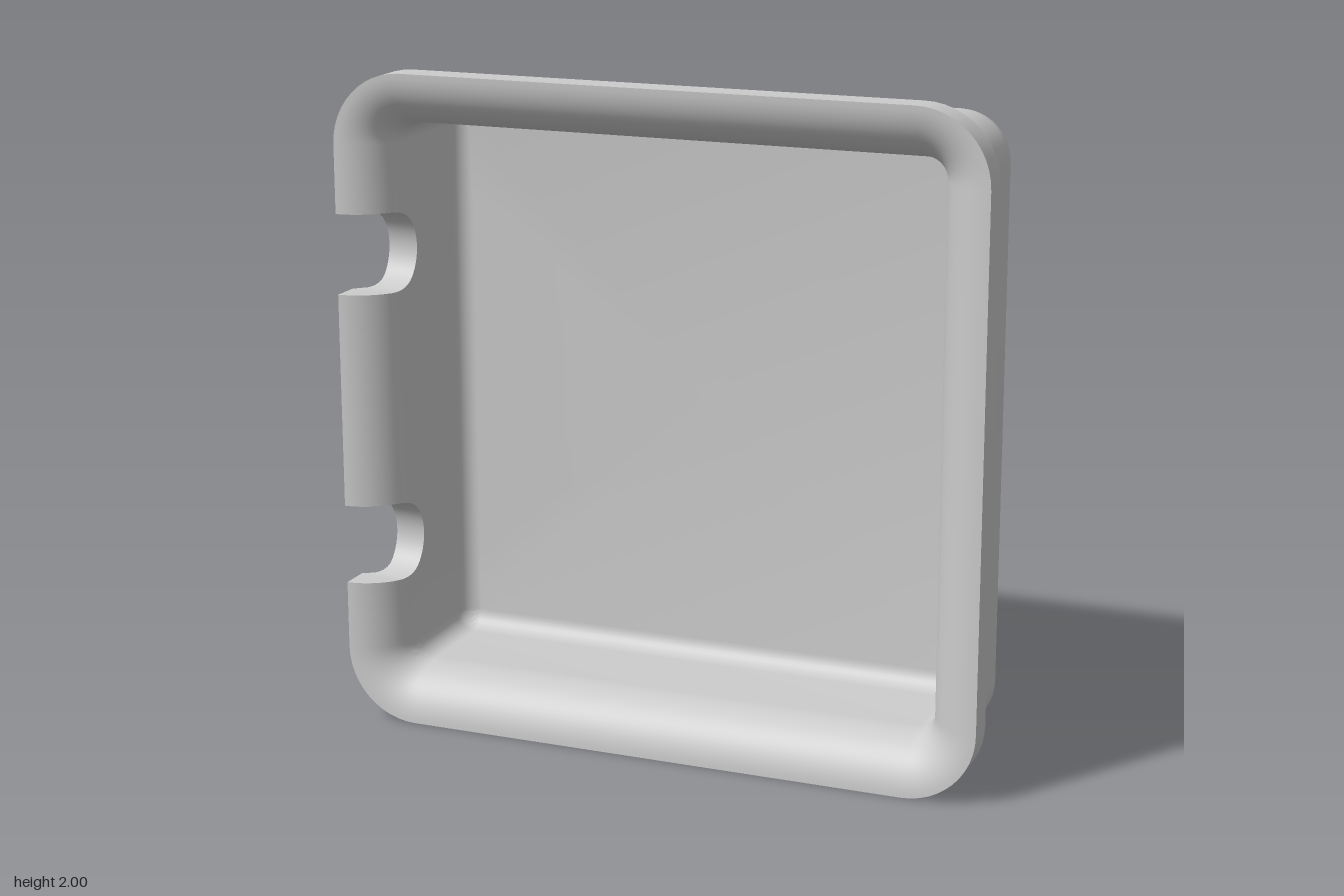
import * as THREE from 'three';
import { toCreasedNormals } from 'three/addons/utils/BufferGeometryUtils.js';

const CORE = 0.78;                      // all corner arcs share these centres
const OUT = 0.93, INN = 0.837;          // half widths of the wall, outside and inside
const BACK = -0.283, RIM = 0.283, FLOOR = -0.19;
const LIP_Z = 0.12;                     // the flared lip starts here
const NOTCH = { r: 0.122, z: 0.205, ys: [0.45, -0.45] };

// half width of the flared lip at depth z, outside and inside
const flare = (z, r) => (z <= LIP_Z ? 1 - r : z >= LIP_Z + r ? 1 : 1 - Math.sqrt(r * r - (z - LIP_Z) ** 2));
const outerH = (z) => flare(z, 1 - OUT);
const innerH = (z) => flare(z, 1 - INN);

// wall cross-section [half width, z, halfWidthAtDepth]: back, outside, rim, inside, floor
function crossSection() {
  const pts = [];
  const arc = (cx, cz, r, a0, a1, n, fn) => {
    for (let i = 0; i <= n; i++) {
      const a = ((a0 + ((a1 - a0) * i) / n) * Math.PI) / 180;
      pts.push([cx + r * Math.cos(a), cz + r * Math.sin(a), fn]);
    }
  };
  const rOut = OUT - CORE, rIn = INN - CORE;
  pts.push([0, BACK, outerH]);
  arc(CORE, BACK + rOut, rOut, -90, 0, 12, outerH);
  arc(1, LIP_Z, 1 - OUT, 180, 90, 10, outerH);
  pts.push([1, RIM, outerH]);
  arc(1, LIP_Z, 1 - INN, 90, 180, 16, innerH);
  arc(CORE, FLOOR + rIn, rIn, 0, -90, 8, innerH);
  pts.push([0, FLOOR, innerH]);
  return pts;
}

// stations around the rounded square; cut is the depth the wall is trimmed to
function perimeter() {
  const list = [];
  const corners = [[1, 1], [-1, 1], [-1, -1], [1, -1]];
  corners.forEach(([sx, sy], k) => {
    for (let i = 0; i <= 12; i++) {
      const a = ((k + i / 12) * Math.PI) / 2;
      list.push({ cx: sx * CORE, cy: sy * CORE, dx: Math.cos(a), dy: Math.sin(a), cut: Infinity });
    }
    if (k !== 1) return;
    // two round-bottomed notches in the right wall
    for (const y of NOTCH.ys) {
      const add = (cy, cut) => list.push({ cx: -CORE, cy, dx: -1, dy: 0, cut });
      add(y + NOTCH.r, Infinity);
      for (let i = 0; i <= 24; i++) {
        const a = (i / 24) * Math.PI;
        add(y + NOTCH.r * Math.cos(a), NOTCH.z - NOTCH.r * Math.sin(a));
      }
      add(y - NOTCH.r, Infinity);
    }
  });
  return list;
}

function trayGeometry() {
  const section = crossSection();
  const around = perimeter();
  const grid = around.map((s) => section.map(([h0, z0, widthAt]) => {
    if (h0 === 0) return new THREE.Vector3(0, 0, z0);
    const z = Math.min(z0, s.cut);
    const r = (z0 > s.cut ? widthAt(z) : h0) - CORE;
    return new THREE.Vector3(s.cx + r * s.dx, s.cy + r * s.dy, z);
  }));
  const pos = [];
  const tri = (a, b, c) => {
    const area = b.clone().sub(a).cross(c.clone().sub(a)).length();
    if (area > 1e-9) for (const p of [a, b, c]) pos.push(p.x, p.y, p.z);
  };
  grid.forEach((col, i) => {
    const next = grid[(i + 1) % grid.length];
    for (let j = 0; j < section.length - 1; j++) {
      tri(col[j], next[j], next[j + 1]);
      tri(col[j], next[j + 1], col[j + 1]);
    }
  });
  const geo = new THREE.BufferGeometry();
  geo.setAttribute('position', new THREE.Float32BufferAttribute(pos, 3));
  return toCreasedNormals(geo, 0.5);
}

export function createModel() {
  const group = new THREE.Group();
  group.name = 'notchedCover';
  const material = new THREE.MeshStandardMaterial({ color: 0xcccccc });
  const shell = new THREE.Mesh(trayGeometry(), material);
  shell.name = 'shell';
  shell.position.y = 1;
  group.add(shell);
  return group;
}
